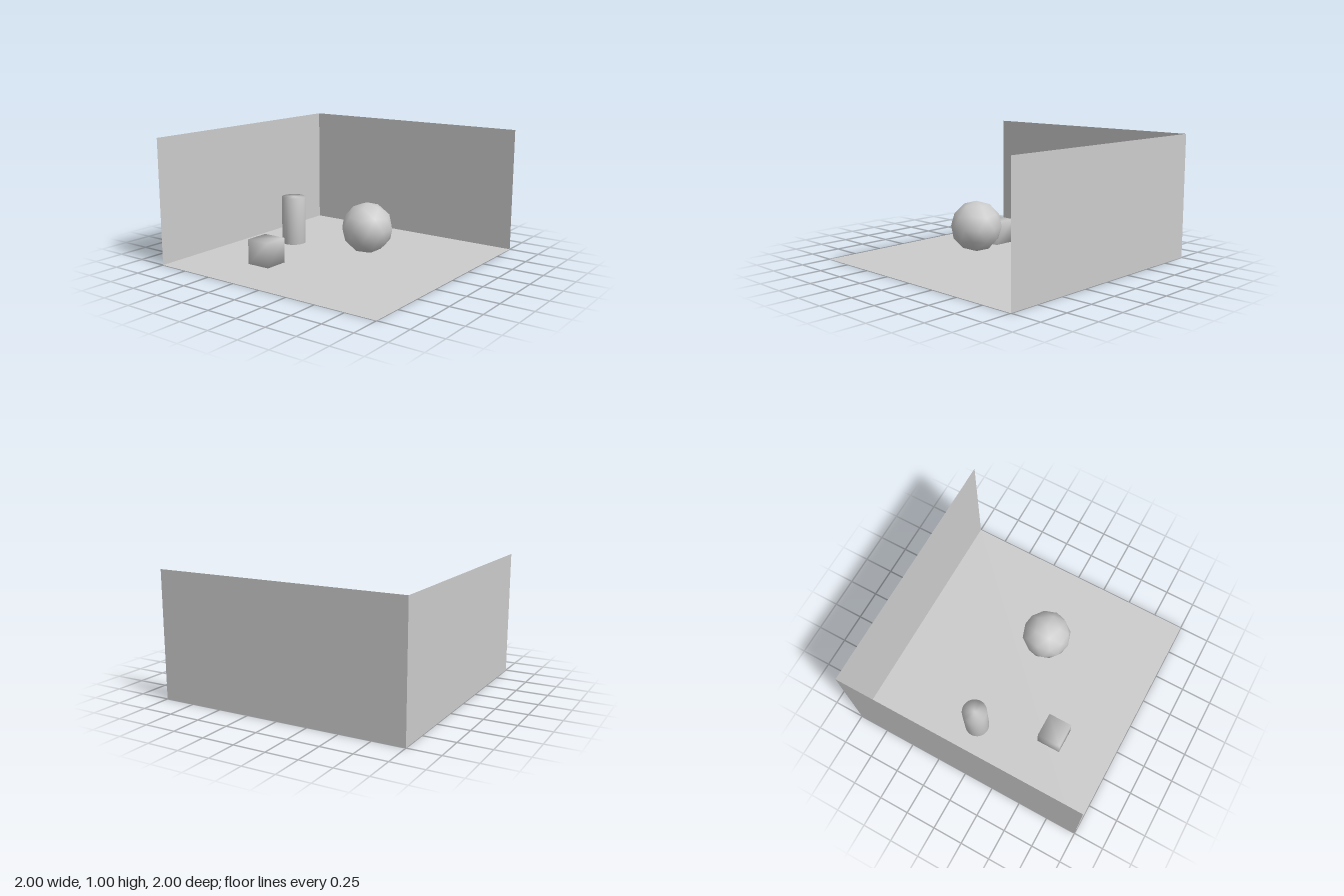
import * as THREE from 'three';
import { mergeVertices } from 'three/addons/utils/BufferGeometryUtils.js';

const solid = new THREE.MeshStandardMaterial({ color: 0xcccccc });
const sheet = new THREE.MeshStandardMaterial({ color: 0xcccccc, side: THREE.DoubleSide });

// Welds all corners so that shading runs smoothly across every edge
function smoothAll(geometry) {
  geometry.deleteAttribute('normal');
  geometry.deleteAttribute('uv');
  const welded = mergeVertices(geometry);
  welded.computeVertexNormals();
  return welded;
}

export function createModel() {
  const group = new THREE.Group();

  function add(name, geometry, material, x, y, z) {
    const mesh = new THREE.Mesh(geometry, material);
    mesh.name = name;
    mesh.position.set(x, y, z);
    group.add(mesh);
  }

  // Open room corner: floor and two thin walls, facing inward
  add('floor', new THREE.PlaneGeometry(2, 2).rotateX(-Math.PI / 2), sheet, 0, 0, 0);
  add('backWall', new THREE.PlaneGeometry(2, 1), sheet, 0, 0.5, -1);
  add('sideWall', new THREE.PlaneGeometry(2, 1).rotateY(Math.PI / 2), sheet, -1, 0.5, 0);

  // Objects standing on the floor
  add('cube', smoothAll(new THREE.BoxGeometry(0.2, 0.2, 0.2)), solid, -0.38, 0.1, 0.485);
  add('cylinder', smoothAll(new THREE.CylinderGeometry(0.1, 0.1, 0.4, 32)), solid, -0.6, 0.2, -0.12);

  // Floating ball, turned so one vertex points straight up
  const golden = (1 + Math.sqrt(5)) / 2;
  const ball = new THREE.IcosahedronGeometry(0.2, 1).rotateZ(-Math.atan(1 / golden));
  add('ball', ball, solid, 0.28, 0.3, 0.055);

  return group;
}
